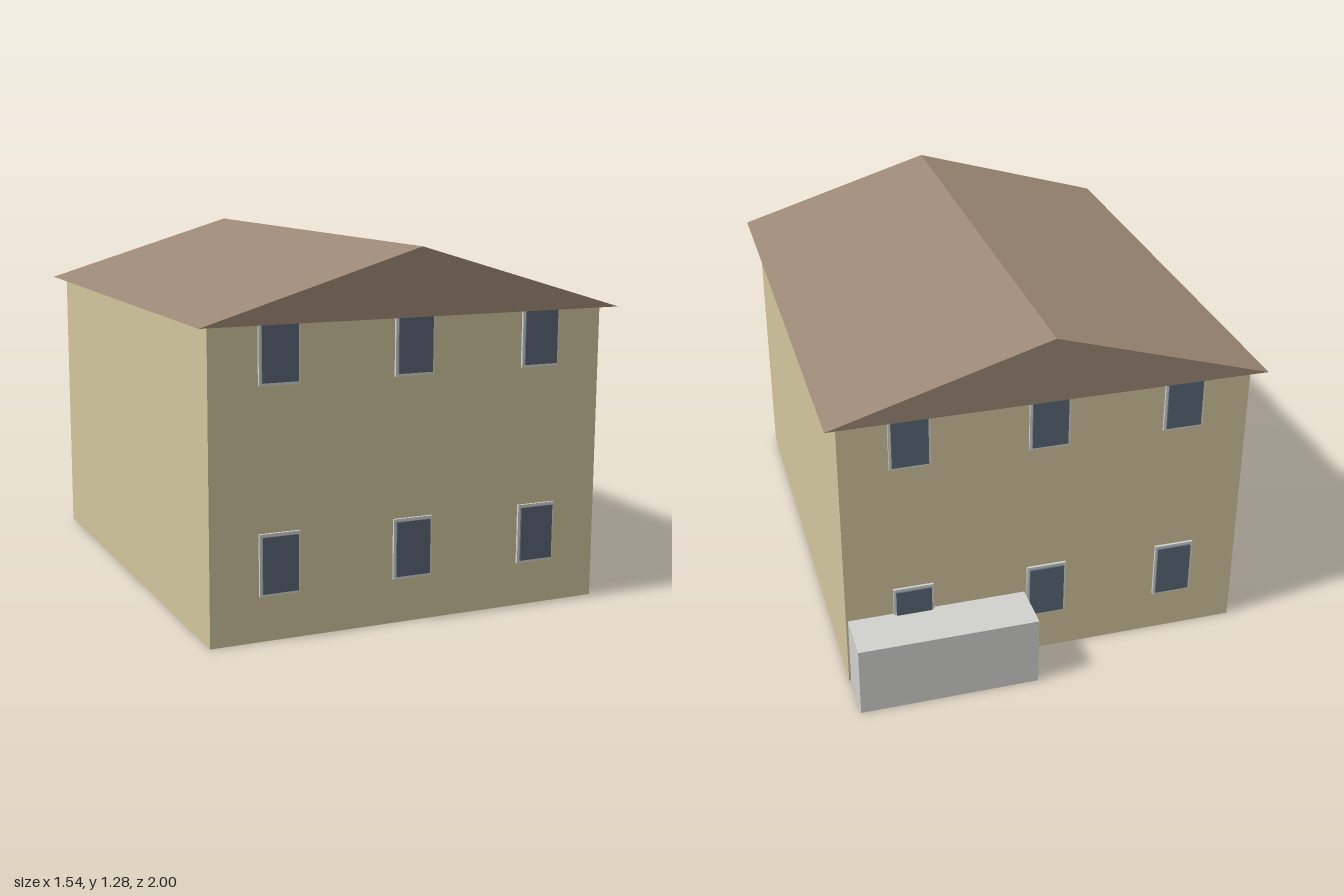
import * as THREE from 'three';

const mat = (name, color) => {
  const m = new THREE.MeshStandardMaterial({ color });
  m.name = name;
  return m;
};

export function createModel() {
  const house = new THREE.Group();
  house.name = 'house';
  const wall = mat('sandWall', 0xd2c69d);
  const roofBrown = mat('roofBrown', 0x9d8875);
  const stone = mat('paleGrey', 0xd1d1cd);
  const glass = mat('slateGlass', 0x5a6675);

  const add = (parent, name, geometry, material) => {
    const mesh = new THREE.Mesh(geometry, material);
    mesh.name = name;
    parent.add(mesh);
    return mesh;
  };
  // Box given by its lower and upper corners
  const box = (parent, name, [x0, y0, z0], [x1, y1, z1], material) => {
    const g = new THREE.BoxGeometry(x1 - x0, y1 - y0, z1 - z0);
    g.translate((x0 + x1) / 2, (y0 + y1) / 2, (z0 + z1) / 2);
    return add(parent, name, g, material);
  };

  const front = 0.95, back = -0.82, eaves = 1.05;
  box(house, 'walls', [-0.727, 0, back], [0.727, eaves, front], wall);

  // Gabled roof: a closed triangular prism overhanging every wall
  const gable = new THREE.Shape();
  gable.moveTo(-0.77, eaves);
  gable.lineTo(0.77, eaves);
  gable.lineTo(0, 1.28);
  gable.closePath();
  const roof = new THREE.ExtrudeGeometry(gable, { depth: 1.87, bevelEnabled: false });
  roof.translate(0, 0, -0.87);
  add(house, 'roof', roof, roofBrown);

  // Low block against the back wall
  box(house, 'backBlock', [0.08, 0, -1], [0.72, 0.26, back], stone);

  // Two rows of three windows, front and back
  for (const [side, z, turn] of [['front', front, 0], ['back', back, Math.PI]]) {
    for (const [row, y] of [['Lower', 0.26], ['Upper', 0.955]]) {
      for (const x of [-0.485, 0, 0.485]) {
        const win = new THREE.Group();
        win.name = `${side}${row}Window`;
        box(win, 'windowFrame', [-0.072, -0.105, -0.002], [0.072, 0.105, 0.009], stone);
        box(win, 'windowPane', [-0.063, -0.095, 0.008], [0.063, 0.095, 0.016], glass);
        win.position.set(x, y, z);
        win.rotation.y = turn;
        house.add(win);
      }
    }
  }
  return house;
}
